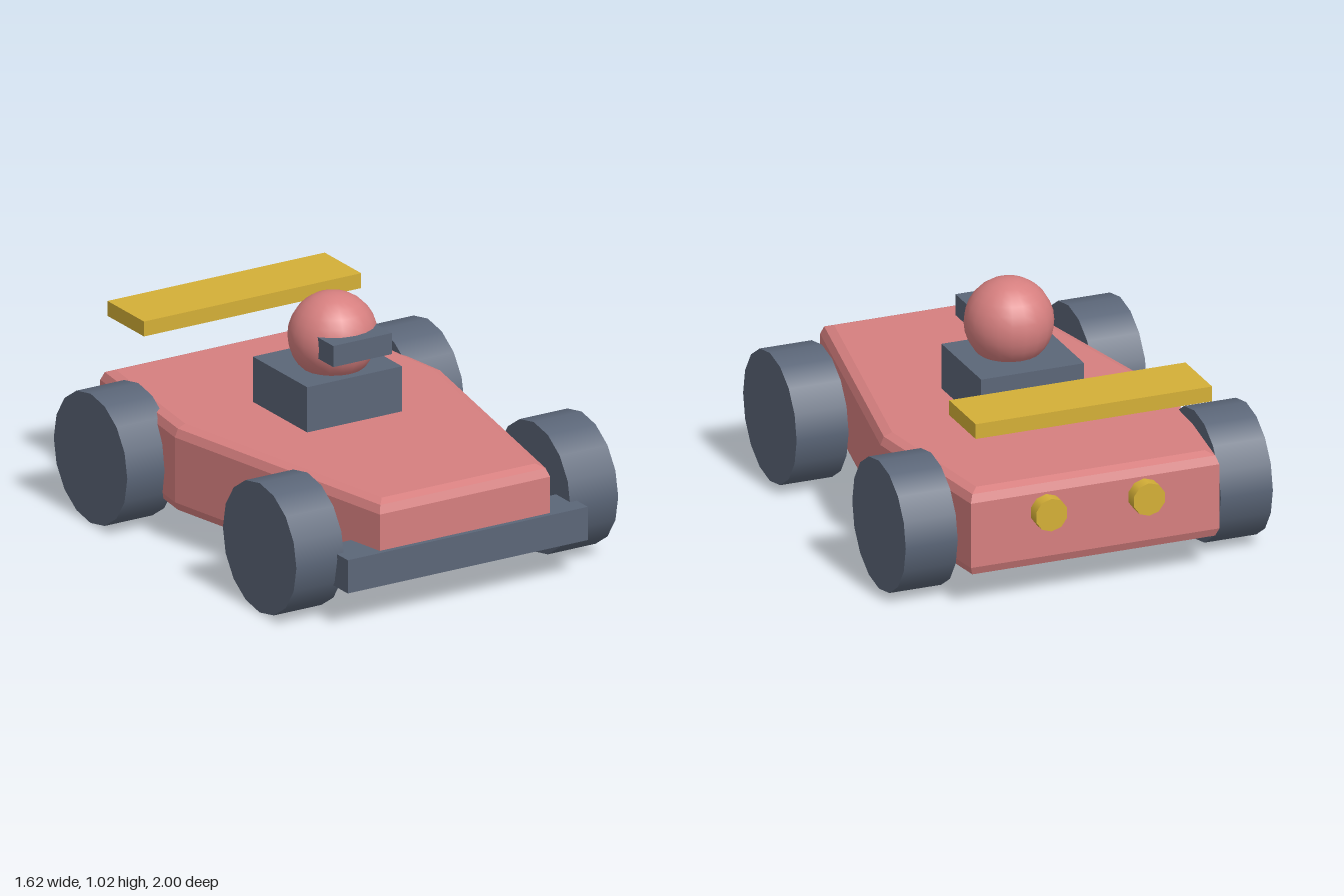
import * as THREE from 'three';

export function createModel() {
  const kart = new THREE.Group();
  kart.name = 'kart';

  const paint = (name, color) => {
    const m = new THREE.MeshStandardMaterial({ color });
    m.name = name;
    return m;
  };
  const red = paint('softRed', 0xd67f7f);
  const slate = paint('slate', 0x5b6678);
  const gold = paint('gold', 0xd4af37);

  const add = (name, geometry, material, x = 0, y = 0, z = 0) => {
    const mesh = new THREE.Mesh(geometry, material);
    mesh.name = name;
    mesh.position.set(x, y, z);
    kart.add(mesh);
    return mesh;
  };
  // box given by half width and its y and z limits
  const block = (name, material, halfX, y0, y1, z0, z1) =>
    add(name, new THREE.BoxGeometry(halfX * 2, y1 - y0, z1 - z0), material,
      0, (y0 + y1) / 2, (z0 + z1) / 2);

  // Body: tapered plan outline (x, z) extruded upward with a rounded edge
  const half = [[0.369, 0.928], [0.595, -0.22], [0.506, -0.893]];
  const outline = [...half, ...half.map(([x, z]) => [-x, z]).reverse()];
  const shape = new THREE.Shape(outline.map(([x, z]) => new THREE.Vector2(x, -z)));
  const bevel = 0.05, bottom = 0.13, top = 0.513;
  const bodyGeo = new THREE.ExtrudeGeometry(shape, {
    depth: top - bottom - 2 * bevel,
    bevelThickness: bevel, bevelSize: bevel, bevelSegments: 2,
  });
  bodyGeo.rotateX(-Math.PI / 2);
  add('body', bodyGeo, red, 0, bottom + bevel, 0);

  // Bumper, seat and floating rear wing
  block('frontBumper', slate, 0.578, 0.16, 0.305, 0.81, 1.0);
  block('seat', slate, 0.228, 0.48, 0.71, -0.285, 0.132);
  block('rearWing', gold, 0.523, 0.74, 0.805, -0.93, -0.65);

  // Driver
  add('driverHead', new THREE.SphereGeometry(0.186, 20, 14), red, 0, 0.84, -0.035);
  block('visor', slate, 0.141, 0.80, 0.892, 0.07, 0.193);

  // Wheels and exhausts, mirrored
  const wheel = (width) =>
    new THREE.CylinderGeometry(0.282, 0.282, width, 16).rotateZ(Math.PI / 2);
  for (const s of [1, -1]) {
    const side = s > 0 ? 'Left' : 'Right';
    add('frontWheel' + side, wheel(0.23), slate, s * 0.66, 0.283, 0.638);
    add('rearWheel' + side, wheel(0.23), slate, s * 0.697, 0.283, -0.6);
    const pipe = new THREE.CylinderGeometry(0.072, 0.072, 0.12, 10).rotateX(Math.PI / 2);
    add('exhaust' + side, pipe, gold, s * 0.216, 0.382, -0.94);
  }
  return kart;
}
